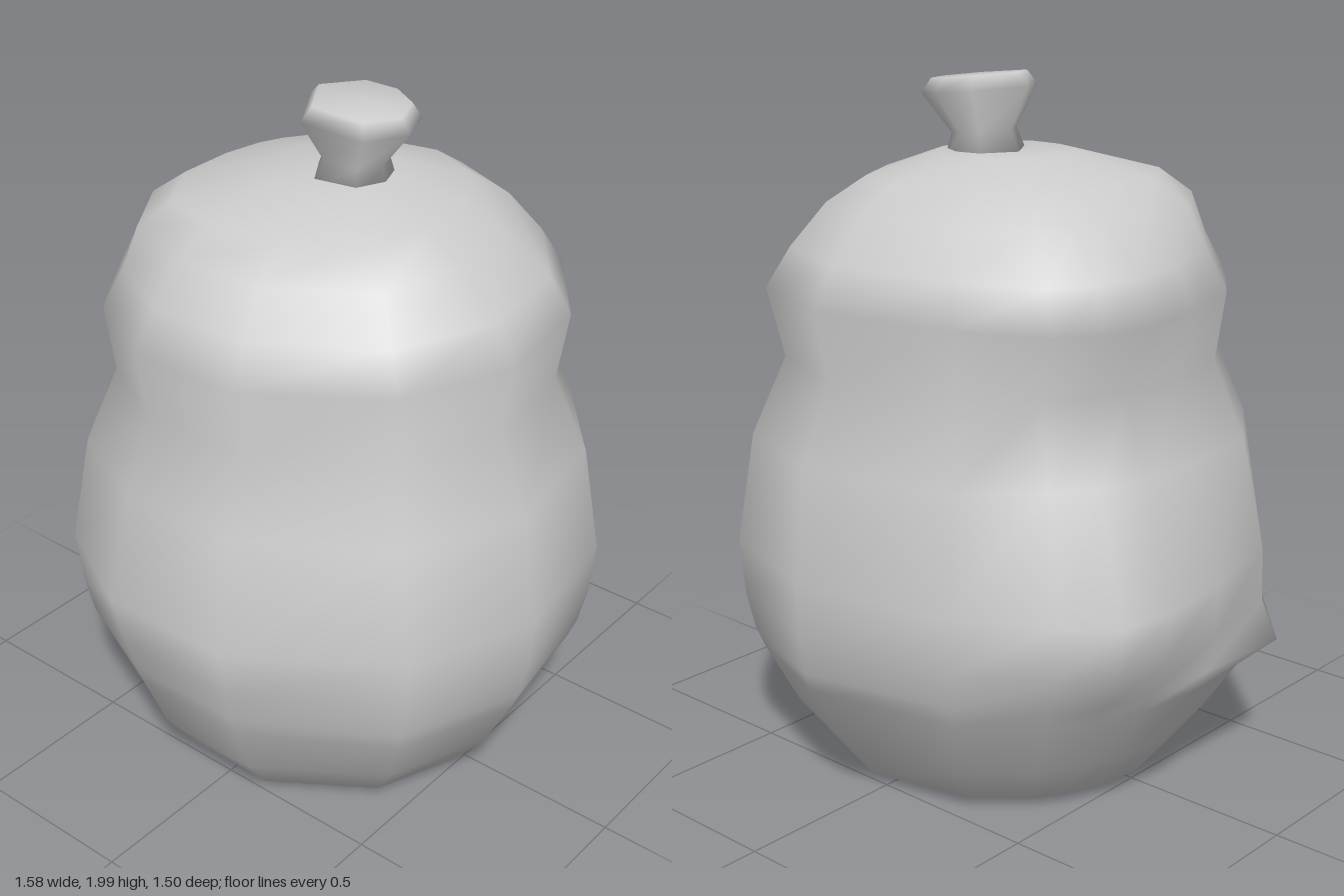
import * as THREE from 'three';

const material = new THREE.MeshStandardMaterial({ color: 0xcccccc });

// Uneven facet directions (degrees from +x towards +z) of the jar and its lid
const JAR_ANGLES = [7, 37, 75, 105, 131, 157, 180, 197, 208, 219, 239, 276, 305, 335];
const KNOB_ANGLES = [0, 48, 115, 180, 238, 277, 315];

// Foot, belly, waist, lid rim and dome as [radius, height]
const JAR_PROFILE = [
  [0.42, 0.005], [0.51, 0.03], [0.62, 0.17], [0.715, 0.35], [0.74, 0.41], [0.765, 0.52], [0.78, 0.68],
  [0.725, 1.0], [0.625, 1.22], [0.65, 1.42], [0.59, 1.53], [0.51, 1.65], [0.4, 1.72], [0.19, 1.78],
];

// Soft bulges and dents of the jar wall
const SWELLS = [
  { deg: 157, y: 0.43, spread: 14, rise: 0.07, push: 0.1 },    // worn stub
  { deg: 208, y: 0.64, spread: 16, rise: 0.2, push: 0.11 },    // side ridge
  { deg: 212, y: 1.46, spread: 25, rise: 0.14, push: 0.13 },   // swollen rim corner
  { deg: 290, y: 1.45, spread: 35, rise: 0.1, push: 0.03 },    // back rim
  { deg: 140, y: 1.7, spread: 25, rise: 0.08, push: 0.06 },    // full lid shoulder
  { deg: 350, y: 1.69, spread: 35, rise: 0.07, push: -0.08 },  // slack lid shoulder
  { deg: 90, y: 0.43, spread: 28, rise: 0.18, push: -0.045 },  // flat lower front
  { deg: 90, y: 1.0, spread: 28, rise: 0.15, push: -0.035 },   // flat upper front
  { deg: 180, y: 1.0, spread: 20, rise: 0.15, push: -0.04 },   // hollow above the ridge
  { deg: 276, y: 0.68, spread: 20, rise: 0.2, push: -0.025 },  // flat back
];

function swollenRadius(r, y, deg) {
  for (const s of SWELLS) {
    const turn = Math.abs(deg - s.deg);
    const away = Math.min(turn, 360 - turn) / s.spread;
    r += s.push * Math.exp(-(away ** 2) - ((y - s.y) / s.rise) ** 2);
  }
  return r;
}

// Closed smooth surface: rows of corner points from bottom to top, with end caps
function loft(name, rows) {
  const n = rows[0].length, index = [];
  const points = rows.flat();
  for (let k = 0; k < rows.length - 1; k++)
    for (let i = 0; i < n; i++) {
      const a = k * n + i, b = k * n + (i + 1) % n;
      index.push(a, a + n, b, b, a + n, b + n);
    }
  const bottom = points.length, top = bottom + 1, last = bottom - n;
  for (const row of [rows[0], rows[rows.length - 1]])
    points.push(row.reduce((sum, p) => sum.add(p), new THREE.Vector3()).divideScalar(n));
  for (let i = 0; i < n; i++) {
    const j = (i + 1) % n;
    index.push(bottom, i, j, top, last + j, last + i);
  }
  const geometry = new THREE.BufferGeometry().setFromPoints(points);
  geometry.setIndex(index);
  geometry.computeVertexNormals();
  const mesh = new THREE.Mesh(geometry, material);
  mesh.name = name;
  return mesh;
}

const around = (r, y, deg) =>
  new THREE.Vector3(r, y, 0).applyAxisAngle(new THREE.Vector3(0, 1, 0), -THREE.MathUtils.degToRad(deg));

export function createModel() {
  const group = new THREE.Group();
  group.name = 'liddedJar';

  // One skin for the round belly, soft waist and domed lid
  group.add(loft('jarAndLid', JAR_PROFILE.map(([r, y]) =>
    JAR_ANGLES.map((deg) => around(swollenRadius(r, y, deg), y, deg)))));

  // Flared seven-sided knob, tipped towards +x
  const knob = loft('lidKnob', [[0.125, -0.05], [0.095, 0.03], [0.17, 0.145], [0.14, 0.185]].map(([r, y]) =>
    KNOB_ANGLES.map((deg) => around(r, y, deg))));
  knob.position.set(0.05, 1.8, -0.01);
  knob.rotation.z = -0.1;
  group.add(knob);

  return group;
}
